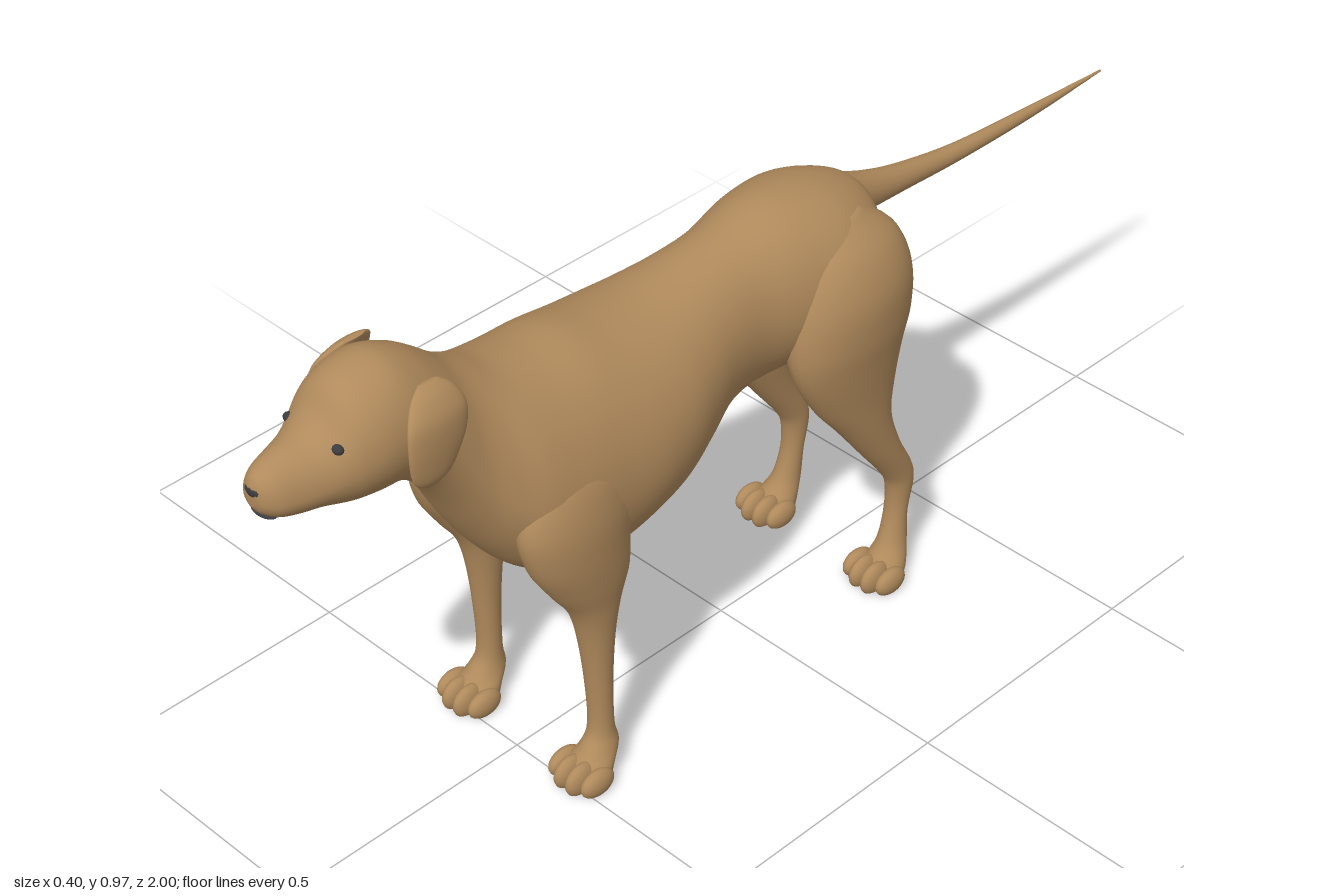
import * as THREE from 'three';

const coat = new THREE.MeshStandardMaterial({ color: 0xb08a5c });
coat.name = 'tan coat';
const dark = new THREE.MeshStandardMaterial({ color: 0x3c3b3e });
dark.name = 'dark skin';

// Smoothly interpolates a table of section rows
function smoothRows(rows, steps) {
  const out = [];
  const n = rows.length;
  for (let i = 0; i < n - 1; i++) {
    const [a, b, c, d] = [rows[Math.max(i - 1, 0)], rows[i], rows[i + 1], rows[Math.min(i + 2, n - 1)]];
    for (let k = 0; k < steps; k++) {
      const t = k / steps;
      out.push(b.map((v, j) => v + 0.5 * t * (c[j] - a[j]
        + t * (2 * a[j] - 5 * v + 4 * c[j] - d[j] + t * (3 * (v - c[j]) + d[j] - a[j])))));
    }
  }
  out.push(rows[n - 1]);
  return out;
}

// Skins closed rings; ring(row, cos, sin) gives a point. isDark picks faces for the second material
function loft(name, rows, ring, { steps = 5, segs = 32, isDark = null } = {}) {
  const sections = smoothRows(rows, steps);
  const pts = [];
  for (const row of sections) {
    for (let j = 0; j < segs; j++) {
      const a = (j / segs) * Math.PI * 2;
      pts.push(new THREE.Vector3(...ring(row, Math.cos(a), Math.sin(a))));
    }
  }
  const faces = [];
  const last = (sections.length - 1) * segs;
  const centre = (start) => pts.slice(start, start + segs)
    .reduce((s, p) => s.add(p), new THREE.Vector3()).divideScalar(segs);
  const caps = [centre(0), centre(last)];
  const c0 = pts.push(caps[0]) - 1;
  const c1 = pts.push(caps[1]) - 1;
  for (let j = 0; j < segs; j++) {
    const k = (j + 1) % segs;
    for (let i = 0; i < last; i += segs) {
      faces.push([i + j, i + k, i + segs + j], [i + k, i + segs + k, i + segs + j]);
    }
    faces.push([c0, k, j], [c1, last + j, last + k]);
  }
  // Turn the faces outward
  let volume = 0;
  for (const [a, b, c] of faces) volume += pts[a].dot(pts[b].clone().cross(pts[c]));
  if (volume < 0) faces.forEach((f) => f.reverse());

  const mid = (f) => new THREE.Vector3().add(pts[f[0]]).add(pts[f[1]]).add(pts[f[2]]).divideScalar(3);
  const marked = isDark ? faces.filter((f) => isDark(mid(f))) : [];
  const plain = isDark ? faces.filter((f) => !isDark(mid(f))) : faces;
  const geo = new THREE.BufferGeometry().setFromPoints(pts);
  geo.setIndex([...plain, ...marked].flat());
  geo.addGroup(0, plain.length * 3, 0);
  geo.addGroup(plain.length * 3, marked.length * 3, 1);
  geo.computeVertexNormals();
  const mesh = new THREE.Mesh(geo, isDark ? [coat, dark] : coat);
  mesh.name = name;
  return mesh;
}

// Row: z, top, bottom, height of widest point, half width
const alongZ = ([z, top, bottom, mid, w], c, s) => [w * c, mid + s * (s > 0 ? top - mid : mid - bottom), z];
// Row: y, front z, back z, centre x, half width
const alongY = (side) => ([y, f, b, x, w], c, s) => [side * (x + w * c), y, (f + b) / 2 + s * (f - b) / 2];

function blob(name, material, pos, scale) {
  const geo = new THREE.SphereGeometry(1, 20, 14).scale(...scale).translate(...pos);
  const p = geo.attributes.position;
  for (let i = 0; i < p.count; i++) p.setY(i, Math.max(p.getY(i), 0));
  const mesh = new THREE.Mesh(geo, material);
  mesh.name = name;
  return mesh;
}

const bodyRows = [
  [-0.335, 0.74, 0.70, 0.72, 0.03], [-0.32, 0.785, 0.64, 0.71, 0.07],
  [-0.28, 0.815, 0.58, 0.70, 0.115], [-0.2, 0.84, 0.54, 0.69, 0.15],
  [-0.1, 0.847, 0.525, 0.68, 0.14], [0, 0.827, 0.52, 0.67, 0.12],
  [0.08, 0.815, 0.505, 0.66, 0.128], [0.15, 0.807, 0.46, 0.64, 0.15],
  [0.22, 0.805, 0.425, 0.62, 0.172], [0.3, 0.813, 0.405, 0.60, 0.183],
  [0.38, 0.828, 0.388, 0.59, 0.182], [0.46, 0.832, 0.395, 0.60, 0.178],
  [0.53, 0.845, 0.44, 0.62, 0.165], [0.58, 0.868, 0.50, 0.64, 0.14],
  [0.62, 0.892, 0.565, 0.70, 0.118], [0.66, 0.925, 0.64, 0.77, 0.107],
  [0.7, 0.953, 0.695, 0.82, 0.102], [0.75, 0.972, 0.733, 0.85, 0.102],
  [0.8, 0.968, 0.74, 0.85, 0.1], [0.84, 0.95, 0.745, 0.84, 0.09],
  [0.87, 0.912, 0.753, 0.83, 0.078], [0.9, 0.892, 0.763, 0.82, 0.066],
  [0.94, 0.882, 0.77, 0.815, 0.053], [0.97, 0.873, 0.78, 0.815, 0.043],
  [0.99, 0.86, 0.795, 0.82, 0.028], [0.998, 0.845, 0.81, 0.825, 0.012],
];
const tailRows = [
  [-0.24, 0.825, 0.74, 0.78, 0.04], [-0.3, 0.802, 0.715, 0.76, 0.036],
  [-0.36, 0.778, 0.704, 0.741, 0.03], [-0.45, 0.752, 0.7, 0.726, 0.024],
  [-0.6, 0.727, 0.693, 0.71, 0.017], [-0.8, 0.715, 0.692, 0.704, 0.01],
  [-1, 0.706, 0.702, 0.704, 0.002],
];
const foreRows = [
  [0.72, 0.5, 0.4, 0.1, 0.02], [0.66, 0.55, 0.36, 0.12, 0.05],
  [0.58, 0.585, 0.345, 0.13, 0.059], [0.5, 0.57, 0.36, 0.135, 0.055],
  [0.43, 0.53, 0.365, 0.138, 0.046], [0.37, 0.49, 0.385, 0.138, 0.037],
  [0.3, 0.47, 0.4, 0.138, 0.031], [0.2, 0.458, 0.408, 0.139, 0.025],
  [0.1, 0.455, 0.408, 0.14, 0.023], [0.06, 0.475, 0.402, 0.142, 0.03],
  [0.03, 0.5, 0.42, 0.142, 0.042], [0, 0.5, 0.435, 0.142, 0.045],
];
const hindRows = [
  [0.8, -0.15, -0.25, 0.07, 0.03], [0.75, -0.09, -0.315, 0.09, 0.065],
  [0.68, -0.06, -0.337, 0.108, 0.077], [0.6, -0.05, -0.332, 0.118, 0.07],
  [0.53, -0.065, -0.312, 0.122, 0.058], [0.45, -0.11, -0.295, 0.125, 0.046],
  [0.38, -0.165, -0.287, 0.128, 0.038], [0.3, -0.225, -0.312, 0.13, 0.031],
  [0.23, -0.278, -0.348, 0.13, 0.026], [0.19, -0.297, -0.355, 0.13, 0.024],
  [0.13, -0.298, -0.342, 0.13, 0.022], [0.07, -0.28, -0.338, 0.133, 0.026],
  [0.03, -0.25, -0.327, 0.137, 0.038], [0, -0.245, -0.315, 0.137, 0.04],
];
const earRows = [
  [0.935, 0.735, 0.695, 0.085, 0.006], [0.92, 0.76, 0.675, 0.097, 0.013],
  [0.89, 0.782, 0.665, 0.113, 0.014], [0.85, 0.788, 0.672, 0.119, 0.012],
  [0.81, 0.785, 0.69, 0.118, 0.011], [0.785, 0.775, 0.705, 0.115, 0.01],
  [0.77, 0.755, 0.725, 0.112, 0.005],
];

export function createModel() {
  const dog = new THREE.Group();
  dog.name = 'dog';

  // Trunk, neck and head in one skin, with a dark patch under the belly
  dog.add(loft('body', bodyRows, alongZ, {
    steps: 6, segs: 64,
    isDark: (p) => p.y < 0.53 && Math.hypot(p.x / 0.026, (p.z - 0.135) / 0.062) < 1,
  }));
  dog.add(loft('tail', tailRows, alongZ));

  // Nose and mouth
  dog.add(blob('nose', dark, [0, 0.836, 0.984], [0.024, 0.016, 0.016]));
  dog.add(blob('mouth', dark, [0, 0.789, 0.976], [0.027, 0.005, 0.014]));

  for (const side of [1, -1]) {
    const label = side > 0 ? 'left' : 'right';
    dog.add(loft(label + 'Ear', earRows, alongY(side)));
    dog.add(blob(label + 'Eye', dark, [side * 0.056, 0.878, 0.872], [0.012, 0.009, 0.009]));

    // Legs, each with four toes
    for (const [part, rows, x, z] of [['Foreleg', foreRows, 0.142, 0.49], ['HindLeg', hindRows, 0.137, -0.25]]) {
      const leg = new THREE.Group();
      leg.name = label + part;
      leg.add(loft('limb', rows, alongY(side)));
      [-0.04, -0.014, 0.014, 0.04].forEach((dx, i) => {
        const inner = i === 1 || i === 2;
        leg.add(blob('toe', coat, [side * x + dx, 0.02, z + (inner ? 0.004 : -0.008)],
          [0.017, inner ? 0.032 : 0.026, 0.036]));
      });
      dog.add(leg);
    }
  }
  return dog;
}
